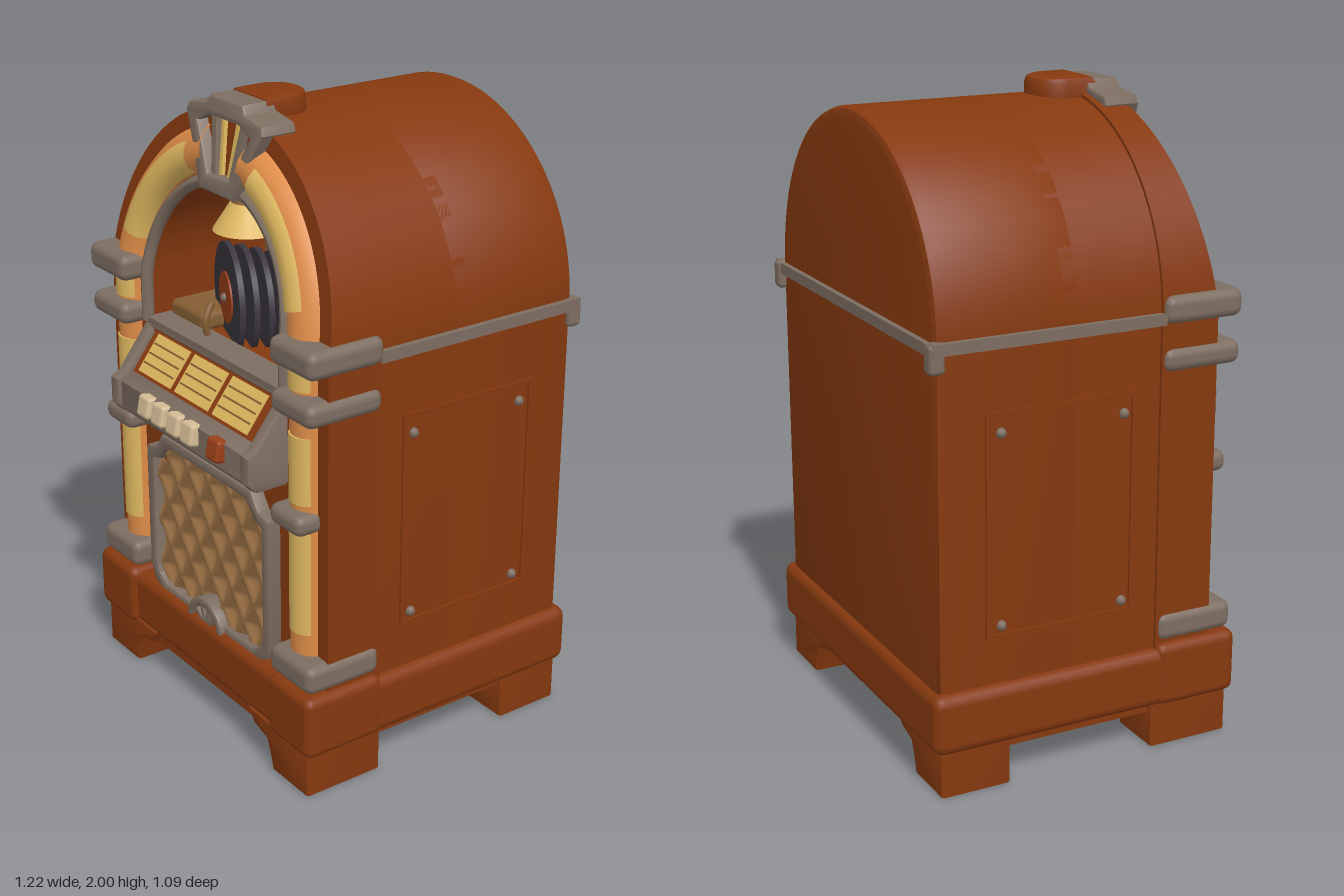
import * as THREE from 'three';
import { toCreasedNormals } from 'three/addons/utils/BufferGeometryUtils.js';
import { RoundedBoxGeometry } from 'three/addons/geometries/RoundedBoxGeometry.js';

const mat = (name, color, side = THREE.FrontSide) => {
  const m = new THREE.MeshStandardMaterial({ color, side });
  m.name = name;
  return m;
};
const wood = mat('brown wood', 0x86390f);
const metal = mat('grey metal', 0x7d6d61);
const amber = mat('amber light', 0xdfb860);
const orange = mat('orange light', 0xde8c48);
const tan = mat('tan cloth', 0x9a7044, THREE.DoubleSide);
const vinyl = mat('dark vinyl', 0x3c373f);
const label = mat('red brown label', 0x9a3f17);
const cream = mat('cream buttons', 0xd6bd96);
const back = mat('dark tan lining', 0x845d33);

const ARCH_Y = 1.37, SIDES = [-1, 1];

export function createModel() {
  const root = new THREE.Group();
  root.name = 'jukebox';

  const add = (name, geo, material, x = 0, y = 0, z = 0, parent = root) => {
    const m = new THREE.Mesh(geo, material);
    m.name = name;
    m.position.set(x, y, z);
    parent.add(m);
    return m;
  };
  // box given by its limits, with softened edges when r > 0
  const block = (name, material, x0, x1, y0, y1, z0, z1, r = 0, parent = root) => {
    const s = [x1 - x0, y1 - y0, z1 - z0];
    const geo = r ? new RoundedBoxGeometry(...s, 2, r) : new THREE.BoxGeometry(...s);
    return add(name, geo, material, (x0 + x1) / 2, (y0 + y1) / 2, (z0 + z1) / 2, parent);
  };
  const poly = pts => new THREE.Shape(pts.map(p => new THREE.Vector2(p[0], p[1])));
  const mirrored = half => poly([...half, ...half.slice().reverse().map(([x, y]) => [-x, y])]);
  const extrude = (shape, z0, z1, b = 0) => {
    const g = new THREE.ExtrudeGeometry(shape, {
      depth: z1 - z0 - 2 * b, bevelEnabled: b > 0, bevelSize: b, bevelOffset: -b,
      bevelThickness: b, bevelSegments: 2, curveSegments: 40,
    });
    return toCreasedNormals(g.translate(0, 0, z0 + b), 0.6);
  };
  // the upper front leans backwards
  const lean = g => {
    const p = g.attributes.position;
    for (let i = 0; i < p.count; i++) {
      const f = THREE.MathUtils.clamp((p.getZ(i) - 0.21) / 0.15, 0, 1);
      p.setZ(i, p.getZ(i) - f * 0.16 * Math.max(0, p.getY(i) - ARCH_Y));
    }
    g.computeVertexNormals();
    return g.index ? g : toCreasedNormals(g, 0.6);
  };
  const archShape = (r, y0, Kind = THREE.Shape) => {
    const s = new Kind();
    s.moveTo(-r, y0);
    s.lineTo(r, y0);
    s.lineTo(r, ARCH_Y);
    s.absarc(0, ARCH_Y, r, 0, Math.PI);
    s.lineTo(-r, y0);
    return s;
  };

  // cabinet: solid rear, hollow middle, front with the arched window
  add('cabinetRear', extrude(archShape(0.575, 0.28), -0.52, -0.05, 0.025), wood);
  const hollow = archShape(0.575, 0.28);
  hollow.holes.push(archShape(0.365, 1.22, THREE.Path));
  add('cabinetMiddle', extrude(hollow, -0.12, 0.21), wood);
  add('frontLower', extrude(poly([[-0.585, 0.28], [0.585, 0.28], [0.585, ARCH_Y], [0.365, ARCH_Y],
    [0.365, 1.22], [-0.365, 1.22], [-0.365, ARCH_Y], [-0.585, ARCH_Y]]), 0.2, 0.39), wood);
  const ring = new THREE.Shape();
  ring.absarc(0, ARCH_Y, 0.585, 0, Math.PI);
  ring.absarc(0, ARCH_Y, 0.365, Math.PI, 0, true);
  add('frontArch', lean(extrude(ring, 0.2, 0.39)), wood);

  // window lining and trim
  add('windowBack', extrude(archShape(0.364, 1.221), -0.052, -0.044), back);
  const rim = [[0.375, 1.22]];
  for (let i = 0; i <= 24; i++) {
    const a = i / 24 * Math.PI;
    rim.push([0.375 * Math.cos(a), ARCH_Y + 0.375 * Math.sin(a)]);
  }
  rim.push([-0.375, 1.22]);
  const rimCurve = new THREE.CatmullRomCurve3(rim.map(([x, y]) => new THREE.Vector3(x, y, 0.39)));
  add('windowTrim', lean(new THREE.TubeGeometry(rimCurve, 60, 0.02, 8)), metal);
  block('windowSill', metal, -0.37, 0.37, 1.215, 1.235, 0.3, 0.4);

  // base, apron and feet
  block('base', wood, -0.605, 0.605, 0.14, 0.33, -0.545, 0.46, 0.035);
  block('apron', wood, -0.56, 0.56, 0.11, 0.18, -0.5, 0.44);
  for (const s of SIDES) {
    block('baseCorner', wood, s * 0.5 - 0.11, s * 0.5 + 0.11, 0.14, 0.345, 0.2, 0.48, 0.03);
    const foot = [[0.4, 0], [0.58, 0], [0.58, 0.16], [0.27, 0.16], [0.3, 0.115], [0.37, 0.095], [0.39, 0.04]];
    const outline = poly(foot.map(([x, y]) => [s * x, y]));
    add('frontFoot', extrude(outline, 0.19, 0.465, 0.01), wood);
    add('backFoot', extrude(outline, -0.52, -0.29, 0.01), wood);
  }

  for (const s of SIDES) {
    // light columns and their metal clamps
    for (const [y0, y1, a0, a1] of [[0.42, 0.87, 0.51, 0.84], [0.89, 1.22, 0.93, 1.14], [1.26, 1.37, 1.28, 1.34]]) {
      add('columnGlow', new THREE.CylinderGeometry(0.066, 0.066, y1 - y0, 20), orange, s * 0.475, (y0 + y1) / 2, 0.365);
      add('columnLight', new THREE.CylinderGeometry(0.058, 0.058, a1 - a0, 20), amber, s * 0.475, (a0 + a1) / 2, 0.379);
    }
    for (const [x0, x1, y0, y1, z0] of [[0.395, 0.607, 1.345, 1.43, 0.205], [0.4, 0.6, 1.2, 1.272, 0.205],
      [0.39, 0.545, 0.845, 0.912, 0.34], [0.385, 0.597, 0.35, 0.44, 0.205]]) {
      const c = s * (x0 + x1) / 2, h = (x1 - x0) / 2;
      block('clamp', metal, c - h, c + h, y0, y1, z0, 0.467, 0.028);
    }
    // arched light tubes
    const tube = (R, r, z, a0, a1) => {
      const g = new THREE.TorusGeometry(R, r, 14, 30, a1 - a0).rotateZ(s > 0 ? a0 : Math.PI - a1);
      return lean(g.translate(0, ARCH_Y, z));
    };
    add('archGlow', tube(0.465, 0.075, 0.36, 0, 1.36), orange);
    add('archLight', tube(0.457, 0.06, 0.382, 0.28, 1.2), amber);

    // belt trim
    block('sideBelt', metal, s * 0.58 - 0.014, s * 0.58 + 0.014, 1.345, 1.38, -0.535, 0.21);
    block('beltCorner', metal, s * 0.568 - 0.025, s * 0.568 + 0.025, 1.29, 1.38, -0.545, -0.495, 0.015);

    // framed side panel with studs
    const panel = new THREE.Group();
    panel.name = 'sidePanel';
    root.add(panel);
    const px = s * 0.576;
    for (const [y0, y1, z0, z1] of [[0.47, 0.485, -0.37, 0.12], [1.145, 1.16, -0.37, 0.12],
      [0.47, 1.16, -0.37, -0.355], [0.47, 1.16, 0.105, 0.12]])
      block('panelFrame', wood, px - 0.006, px + 0.006, y0, y1, z0, z1, 0, panel);
    for (const y of [0.51, 1.095]) for (const z of [-0.32, 0.08])
      add('stud', new THREE.SphereGeometry(0.016, 10, 8), metal, px, y, z, panel);
  }
  block('backBelt', metal, -0.58, 0.58, 1.34, 1.375, -0.537, -0.5);

  // crest: fan with spokes, and the knob behind it
  const crest = mirrored([[0.09, 1.715], [0.13, 1.8], [0.2, 1.925], [0.19, 1.95], [0.1, 1.965], [0.085, 1.99]]);
  const fan = mirrored([[0.055, 1.765], [0.085, 1.82], [0.135, 1.905], [0.075, 1.93]]);
  crest.holes.push(new THREE.Path(fan.getPoints()));
  add('crest', lean(extrude(crest, 0.24, 0.43, 0.012)), metal);
  for (const s of SIDES) {
    for (const [m, x0, x1, w, z] of [[metal, 0.045, 0.075, 0.011, 0.41], [amber, 0.02, 0.038, 0.007, 0.402]]) {
      const bar = poly([[s * (x0 - w), 1.755], [s * (x0 + w), 1.755], [s * (x1 + w), 1.93], [s * (x1 - w), 1.93]]);
      add('crestSpoke', lean(extrude(bar, 0.36, z)), m);
    }
  }
  const knob = new THREE.Shape();
  knob.moveTo(0.092, -0.25);
  knob.lineTo(0.092, -0.16);
  knob.absarc(0, -0.16, 0.092, 0, Math.PI);
  knob.lineTo(-0.092, -0.25);
  add('crestKnob', extrude(knob, 1.9, 2.0, 0.02).rotateX(-Math.PI / 2), wood);

  // selector console: sloped profile run across the front
  const profile = [[0.33, 1.215], [0.37, 1.215], [0.485, 1.065], [0.515, 1.05], [0.515, 0.965], [0.49, 0.937], [0.33, 0.937]];
  const console_ = (name, w, x, grow) => add(name,
    extrude(poly(profile.map(([z, y]) => [z + grow, y + grow * 0.6])), -w / 2, w / 2, 0.008).rotateY(-Math.PI / 2), metal, x);
  console_('console', 0.76, 0, 0);
  for (const s of SIDES) console_('consoleRail', 0.045, s * 0.365, 0.014);
  const slope = new THREE.Group();
  slope.name = 'titleStrips';
  slope.position.set(0, 1.14, 0.4275);
  slope.rotation.x = -0.65;
  root.add(slope);
  block('stripBed', wood, -0.33, 0.33, -0.078, 0.072, -0.004, 0.005, 0, slope);
  block('topRail', metal, -0.36, 0.36, 0.07, 0.096, -0.01, 0.018, 0.008, slope);
  for (const x of [-0.21, 0, 0.21]) {
    block('titleStrip', amber, x - 0.092, x + 0.092, -0.068, 0.062, 0.003, 0.01, 0, slope);
    for (const y of [-0.036, -0.003, 0.03])
      block('stripLine', back, x - 0.085, x + 0.085, y - 0.003, y + 0.003, 0.008, 0.012, 0, slope);
  }
  for (const [x, m] of [[-0.175, cream], [-0.094, cream], [-0.009, cream], [0.072, cream], [0.213, label]])
    block('selectorButton', m, x - 0.032, x + 0.032, 0.988, 1.058, 0.49, 0.542, 0.012).rotation.x = -0.2;

  // speaker grille: quilted cloth in a metal frame
  const frame = mirrored([[0.26, 0.305], [0.32, 0.335], [0.345, 0.39], [0.345, 0.81], [0.29, 0.825], [0.25, 0.88]]);
  frame.holes.push(new THREE.Path(mirrored([[0.25, 0.345], [0.29, 0.37], [0.305, 0.41], [0.305, 0.775],
    [0.265, 0.79], [0.225, 0.843]]).getPoints()));
  add('grilleFrame', extrude(frame, 0.37, 0.435, 0.012), metal);
  const cloth = new THREE.PlaneGeometry(0.64, 0.52, 80, 70).translate(0, 0.595, 0);
  const cp = cloth.attributes.position;
  for (let i = 0; i < cp.count; i++) {
    const y = cp.getY(i), w = y > 0.78 ? 0.25 : y < 0.38 ? 0.29 : 0.32;
    const x = THREE.MathUtils.clamp(cp.getX(i), -w, w);
    const u = Math.abs(Math.sin(Math.PI * (x / 0.12 + y / 0.16)));
    const v = Math.abs(Math.sin(Math.PI * (x / 0.12 - y / 0.16)));
    cp.setXYZ(i, x, y, 0.396 + 0.024 * (1 - Math.min(u, v)));
  }
  cloth.computeVertexNormals();
  add('grilleCloth', cloth, tan);

  // half sunburst below the grille
  const burst = new THREE.Shape();
  burst.absarc(0, 0.305, 0.1, 0, Math.PI);
  burst.absarc(0, 0.305, 0.07, Math.PI, 0, true);
  add('sunburstRim', extrude(burst, 0.39, 0.45, 0.008), metal);
  const disc = new THREE.Shape();
  disc.absarc(0, 0.305, 0.085, 0, Math.PI);
  add('sunburstBed', extrude(disc, 0.39, 0.428), wood);
  for (const a of [-0.85, -0.28, 0.28, 0.85])
    add('sunburstRay', new THREE.BoxGeometry(0.014, 0.08, 0.03), metal,
      -Math.sin(a) * 0.045, 0.305 + Math.cos(a) * 0.045, 0.43).rotation.z = a;

  // record stack on its holder
  for (let i = 0; i < 8; i++) {
    const t = i / 7, r = 0.172 - 0.045 * t;
    const record = new THREE.Group();
    record.name = 'record';
    record.position.set(-0.12 + 0.21 * t, 1.34 - 0.015 * t, 0.25 - 0.24 * t);
    record.rotation.y = -0.35;
    root.add(record);
    add('disc', new THREE.CylinderGeometry(r, r, 0.018, 36).rotateX(Math.PI / 2), vinyl, 0, 0, 0, record);
    if (i === 0) {
      add('label', new THREE.CylinderGeometry(0.08, 0.08, 0.008, 28).rotateX(Math.PI / 2), label, 0, 0, 0.011, record);
      add('spindle', new THREE.SphereGeometry(0.014, 10, 8), metal, 0, 0, 0.016, record);
    }
  }
  const arm = new THREE.CatmullRomCurve3([[-0.12, 1.22, 0.33], [-0.12, 1.28, 0.34], [-0.13, 1.33, 0.31]]
    .map(p => new THREE.Vector3(...p)));
  add('pickupArm', new THREE.TubeGeometry(arm, 10, 0.011, 8), back);
  block('leftShelf', back, -0.36, -0.17, 1.22, 1.28, 0.1, 0.32, 0.02);
  block('rightShelf', back, 0.23, 0.36, 1.22, 1.29, 0.0, 0.3, 0.02);

  // hanging lamp
  add('lampShade', new THREE.CylinderGeometry(0.05, 0.105, 0.085, 24), amber, 0, 1.635, 0.26);
  add('lampCap', new THREE.CylinderGeometry(0.03, 0.05, 0.05, 16), back, 0, 1.7, 0.26);

  return root;
}
